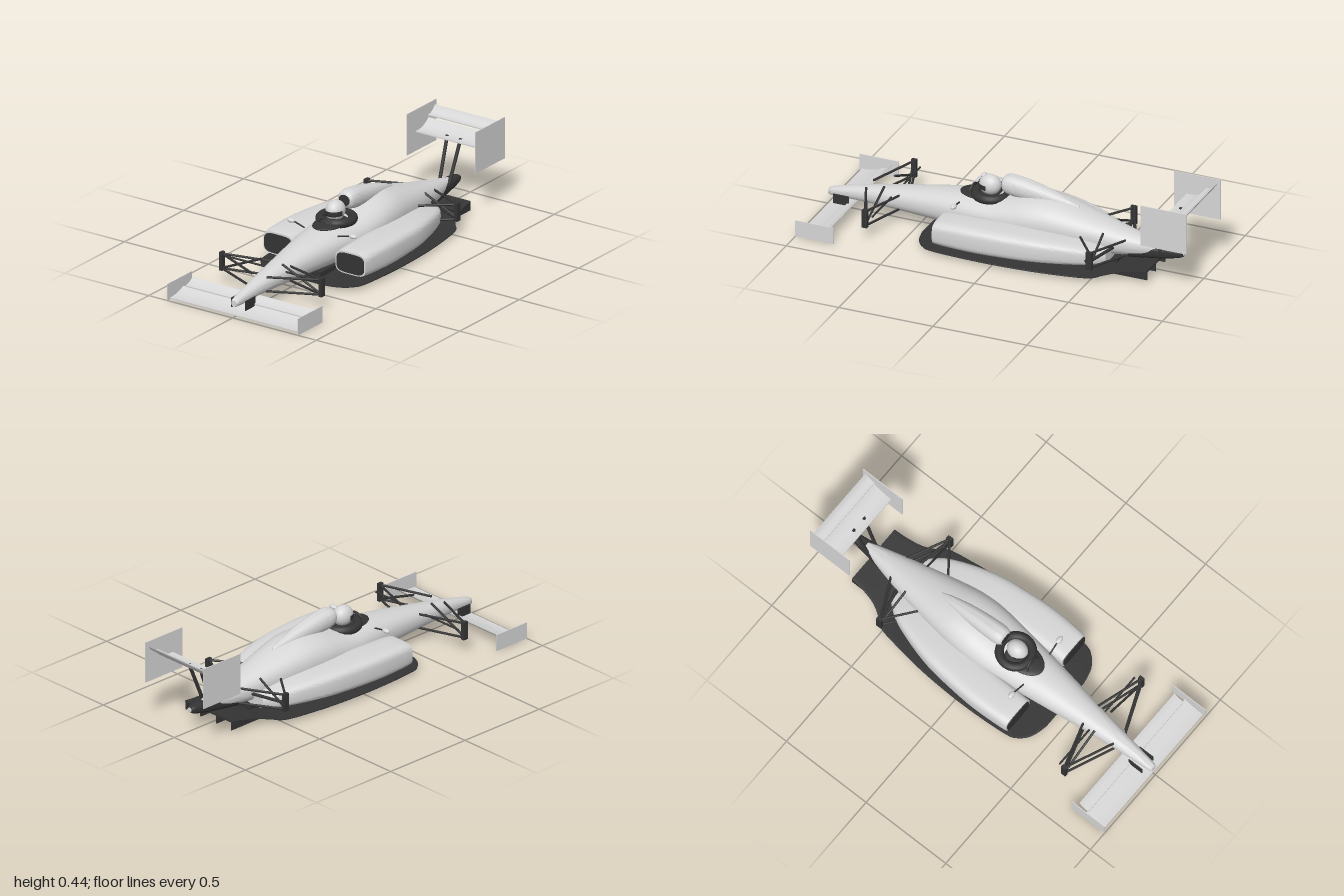
import * as THREE from 'three';
import { toCreasedNormals } from 'three/addons/utils/BufferGeometryUtils.js';

const paint = new THREE.MeshStandardMaterial({ color: 0xd6d6d6 });
paint.name = 'lightGrey';
const carbon = new THREE.MeshStandardMaterial({ color: 0x343434 });
carbon.name = 'darkGrey';

// Closed skin through superellipse sections [z, centreX, halfWidth, top, bottom], listed front to rear
function loft(sections, power = 2.3, steps = 48, sides = 40) {
  const at = (t) => {
    const f = t * (sections.length - 1), i = Math.min(Math.floor(f), sections.length - 2), u = f - i;
    const s = (k) => sections[Math.max(0, Math.min(sections.length - 1, k))];
    return s(i).map((b, n) => {
      const a = s(i - 1)[n], c = s(i + 1)[n], d = s(i + 2)[n];
      return b + 0.5 * u * (c - a + u * (2 * a - 5 * b + 4 * c - d + u * (3 * (b - c) + d - a)));
    });
  };
  const pos = [], index = [];
  const bend = (v) => Math.sign(v) * Math.abs(v) ** (2 / power);
  for (let i = 0; i <= steps; i++) {
    const [z, cx, w, top, bottom] = at(i / steps);
    for (let j = 0; j < sides; j++) {
      const a = (j / sides) * Math.PI * 2;
      pos.push(cx + w * bend(Math.cos(a)), (top + bottom) / 2 + ((top - bottom) / 2) * bend(Math.sin(a)), z);
    }
  }
  for (let i = 0; i < steps; i++) for (let j = 0; j < sides; j++) {
    const k = (j + 1) % sides, a = i * sides + j, b = i * sides + k, c = a + sides, d = b + sides;
    index.push(a, c, b, b, c, d);
  }
  const last = steps * sides, mid = pos.length / 3;
  for (const s of [sections[0], sections[sections.length - 1]]) pos.push(s[1], (s[3] + s[4]) / 2, s[0]);
  for (let j = 0; j < sides; j++) {
    const k = (j + 1) % sides;
    index.push(mid, j, k, mid + 1, last + k, last + j);
  }
  const geo = new THREE.BufferGeometry();
  geo.setAttribute('position', new THREE.Float32BufferAttribute(pos, 3));
  geo.setIndex(index);
  return toCreasedNormals(geo, 0.7);
}

// Curved wing element: lead, control and trail are [z, y] points on its lower face
function foil(halfSpan, lead, control, trail, thick = 0.006) {
  const s = new THREE.Shape();
  s.moveTo(...lead);
  s.quadraticCurveTo(...control, ...trail);
  s.lineTo(trail[0], trail[1] + 0.002);
  s.quadraticCurveTo(control[0], control[1] + thick * 1.5, lead[0], lead[1] + thick);
  const geo = new THREE.ExtrudeGeometry(s, { depth: halfSpan * 2, bevelEnabled: false, curveSegments: 12 });
  geo.rotateY(-Math.PI / 2).translate(halfSpan, 0, 0);
  return toCreasedNormals(geo, 0.6);
}

export function createModel() {
  const car = new THREE.Group();
  car.name = 'racingCar';
  const add = (name, geo, mat, x = 0, y = 0, z = 0) => {
    const m = new THREE.Mesh(geo, mat);
    m.name = name;
    m.position.set(x, y, z);
    car.add(m);
    return m;
  };
  const box = (name, mat, w, h, d, x, y, z) => add(name, new THREE.BoxGeometry(w, h, d), mat, x, y, z);
  const rod = (name, a, b, r = 0.006) => {
    const p = new THREE.Vector3(...a), q = new THREE.Vector3(...b);
    const m = add(name, new THREE.CylinderGeometry(r, r, p.distanceTo(q), 10), carbon);
    m.position.copy(p).add(q).multiplyScalar(0.5);
    m.quaternion.setFromUnitVectors(new THREE.Vector3(0, 1, 0), q.sub(p).normalize());
  };

  // Main body from nose to tail
  add('body', loft([
    [0.99, 0, 0.015, 0.087, 0.056], [0.96, 0, 0.024, 0.101, 0.053], [0.8, 0, 0.043, 0.138, 0.057],
    [0.6, 0, 0.07, 0.175, 0.055], [0.4, 0, 0.1, 0.208, 0.05], [0.25, 0, 0.122, 0.226, 0.045],
    [0.1, 0, 0.142, 0.236, 0.042], [0, 0, 0.152, 0.257, 0.042], [-0.1, 0, 0.157, 0.278, 0.042],
    [-0.2, 0, 0.151, 0.282, 0.042], [-0.3, 0, 0.136, 0.264, 0.045], [-0.45, 0, 0.108, 0.225, 0.05],
    [-0.6, 0, 0.076, 0.186, 0.06], [-0.75, 0, 0.038, 0.153, 0.08], [-0.81, 0, 0.02, 0.14, 0.1],
  ], 2.3, 84), paint);

  // Airbox behind the driver's head
  add('airbox', loft([
    [0.06, 0, 0.036, 0.34, 0.275], [0.045, 0, 0.046, 0.351, 0.262], [0, 0, 0.05, 0.354, 0.25],
    [-0.1, 0, 0.046, 0.337, 0.24], [-0.2, 0, 0.037, 0.311, 0.23], [-0.29, 0, 0.022, 0.281, 0.22],
    [-0.34, 0, 0.008, 0.258, 0.22],
  ], 2.3), paint);
  add('airboxInlet', loft([[0.063, 0, 0.031, 0.334, 0.28], [0.04, 0, 0.031, 0.334, 0.28]], 2.3, 1), carbon);

  // Cockpit, driver and steering wheel
  add('cockpit', new THREE.SphereGeometry(1, 40, 20), carbon, 0, 0.228, 0.17).scale.set(0.076, 0.015, 0.12);
  const collar = add('cockpitCollar', new THREE.TorusGeometry(0.081, 0.023, 14, 40), carbon, 0, 0.237, 0.125);
  collar.rotation.x = Math.PI / 2;
  add('helmet', new THREE.SphereGeometry(1, 32, 24), paint, 0, 0.281, 0.135).scale.set(0.046, 0.052, 0.056);
  add('visor', new THREE.SphereGeometry(1.03, 32, 8, 0.1, Math.PI - 0.2, 1.42, 0.5), carbon, 0, 0.281, 0.135)
    .scale.set(0.046, 0.052, 0.056);
  const wheel = add('steeringWheel', new THREE.TorusGeometry(0.042, 0.006, 10, 32), carbon, 0, 0.228, 0.235);
  wheel.rotation.x = -0.35;

  // Floor with a rising diffuser at its rear
  add('floor', loft([
    [0.435, 0, 0.15, 0.025, 0.017], [0.415, 0, 0.225, 0.025, 0.017], [0.37, 0, 0.28, 0.025, 0.017],
    [0.3, 0, 0.305, 0.025, 0.017], [0.05, 0, 0.318, 0.025, 0.017], [-0.2, 0, 0.309, 0.025, 0.017],
    [-0.4, 0, 0.284, 0.025, 0.017], [-0.51, 0, 0.262, 0.028, 0.02], [-0.56, 0, 0.222, 0.034, 0.026],
    [-0.62, 0, 0.19, 0.045, 0.037], [-0.7, 0, 0.172, 0.057, 0.049], [-0.77, 0, 0.165, 0.067, 0.059],
  ], 10, 66, 32), carbon);
  box('plank', carbon, 0.16, 0.03, 0.95, 0, 0.035, -0.1);
  for (const x of [-0.16, -0.055, 0.055, 0.16]) {
    const fin = new THREE.Shape([[0.52, 0.018], [0.77, 0.018], [0.77, 0.063], [0.52, 0.026]]
      .map((p) => new THREE.Vector2(...p)));
    const geo = new THREE.ExtrudeGeometry(fin, { depth: 0.006, bevelEnabled: false });
    add('diffuserFin', geo.rotateY(Math.PI / 2), carbon, x - 0.003, 0, 0);
  }

  // Gearbox and tail lamp
  add('gearbox', loft([
    [-0.62, 0, 0.06, 0.14, 0.055], [-0.72, 0, 0.045, 0.14, 0.065], [-0.8, 0, 0.034, 0.138, 0.075],
    [-0.87, 0, 0.025, 0.134, 0.09], [-0.895, 0, 0.018, 0.128, 0.1],
  ], 3), carbon);
  add('tailLamp', new THREE.CylinderGeometry(0.012, 0.012, 0.008, 20).rotateX(Math.PI / 2), paint, 0, 0.114, -0.897);

  // Front and rear wings
  add('frontWing', foil(0.384, [0.985, 0.006], [0.92, 0.002], [0.872, 0.035]), paint);
  add('frontFlap', foil(0.366, [0.878, 0.038], [0.845, 0.04], [0.822, 0.068]), paint);
  add('rearWing', foil(0.2, [-0.82, 0.327], [-0.885, 0.318], [-0.93, 0.368]), paint);
  add('rearFlap', foil(0.2, [-0.925, 0.379], [-0.962, 0.375], [-0.982, 0.418]), paint);

  for (const s of [-1, 1]) {
    box('frontEndplate', paint, 0.004, 0.087, 0.205, s * 0.389, 0.0435, 0.8975);
    box('rearEndplate', paint, 0.004, 0.216, 0.247, s * 0.204, 0.334, -0.8765);
    box('nosePylon', carbon, 0.004, 0.05, 0.085, s * 0.042, 0.056, 0.91);
    rod('rearWingStrut', [s * 0.028, 0.11, -0.776], [s * 0.04, 0.337, -0.862], 0.009);

    // Sidepod and its inlet
    add('sidepod', loft([
      [0.312, s * 0.215, 0.09, 0.166, 0.05], [0.25, s * 0.218, 0.093, 0.174, 0.046],
      [0.1, s * 0.217, 0.098, 0.177, 0.043], [-0.05, s * 0.205, 0.1, 0.174, 0.042],
      [-0.2, s * 0.185, 0.101, 0.167, 0.042], [-0.35, s * 0.15, 0.095, 0.152, 0.042],
      [-0.47, s * 0.115, 0.082, 0.13, 0.044], [-0.54, s * 0.085, 0.06, 0.11, 0.05],
    ], 4), paint);
    const inlet = [s * 0.216, 0.081, 0.158, 0.058];
    add('sidepodInlet', loft([[0.317, ...inlet], [0.3, ...inlet]], 4, 1), carbon);

    // Mirror
    add('mirror', new THREE.SphereGeometry(1, 24, 16), paint, s * 0.185, 0.222, 0.248).scale.set(0.023, 0.012, 0.014);
    rod('mirrorStem', [s * 0.1, 0.205, 0.255], [s * 0.17, 0.221, 0.248], 0.004);

    // Front suspension
    box('frontUpright', carbon, 0.018, 0.095, 0.028, s * 0.297, 0.122, 0.67);
    for (const z of [0.59, 0.775]) {
      rod('frontUpperArm', [s * 0.297, 0.16, 0.67], [s * 0.045, 0.15, z]);
      rod('frontLowerArm', [s * 0.297, 0.083, 0.67], [s * 0.04, 0.076, z]);
    }
    rod('frontPushrod', [s * 0.295, 0.085, 0.67], [s * 0.063, 0.187, 0.67]);
    rod('steeringRod', [s * 0.29, 0.135, 0.635], [s * 0.05, 0.135, 0.635], 0.005);

    // Rear suspension
    box('rearUpright', carbon, 0.018, 0.095, 0.03, s * 0.27, 0.122, -0.51);
    for (const [x, z] of [[0.11, -0.39], [0.06, -0.61]]) {
      rod('rearUpperArm', [s * 0.268, 0.16, -0.51], [s * x, 0.155, z]);
      rod('rearLowerArm', [s * 0.268, 0.083, -0.51], [s * x, 0.075, z]);
    }
    rod('rearPushrod', [s * 0.265, 0.09, -0.51], [s * 0.08, 0.18, -0.5]);
    rod('driveshaft', [s * 0.268, 0.12, -0.515], [s * 0.05, 0.115, -0.56], 0.008);
  }
  return car;
}
